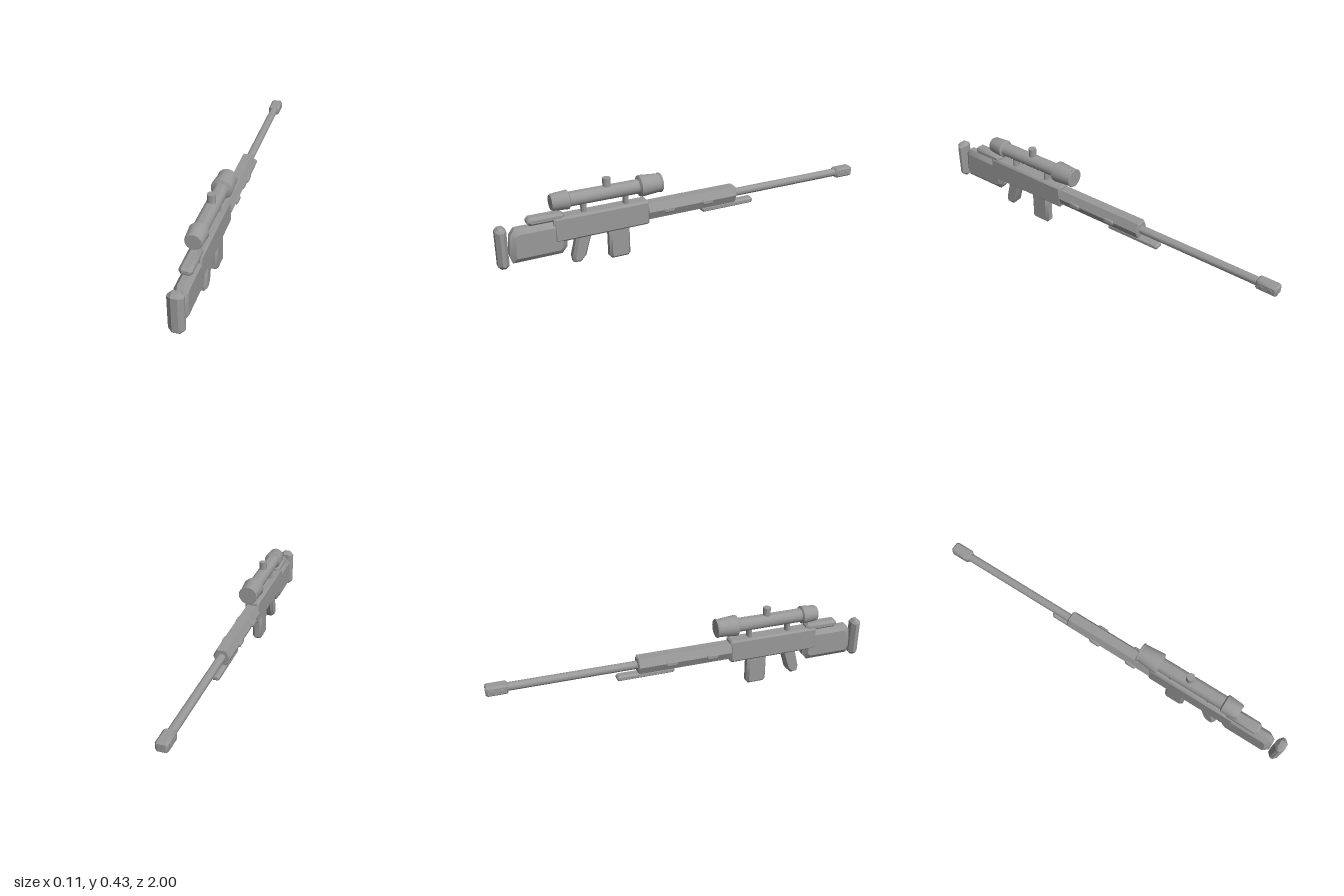
import * as THREE from 'three';
import { toCreasedNormals } from 'three/addons/utils/BufferGeometryUtils.js';

export function createModel() {
  const model = new THREE.Group();
  model.name = 'scopedRifle';
  const grey = new THREE.MeshStandardMaterial({ color: 0x999999 });
  grey.name = 'plainGrey';

  const add = (name, geometry) => {
    const mesh = new THREE.Mesh(toCreasedNormals(geometry, 0.6), grey);
    mesh.name = name;
    model.add(mesh);
    return mesh;
  };

  // Side profile in (z, y), extruded across x with chamfered edges
  const slab = (name, profile, halfWidth, bevelSize, bevelThickness, x = 0) => {
    const shape = new THREE.Shape(profile.map(([z, y]) => new THREE.Vector2(z, y)));
    const depth = 2 * (halfWidth - bevelThickness);
    const g = new THREE.ExtrudeGeometry(shape, {
      depth, bevelEnabled: true, bevelSegments: 1, bevelSize, bevelThickness, bevelOffset: -bevelSize,
    });
    g.translate(0, 0, -depth / 2);
    g.rotateY(-Math.PI / 2);
    g.translate(x, 0, 0);
    return add(name, g);
  };

  // Rectangle with cut corners, as a side profile
  const cutRect = (z0, z1, y0, y1, c) => [
    [z0 + c, y0], [z1 - c, y0], [z1, y0 + c], [z1, y1 - c],
    [z1 - c, y1], [z0 + c, y1], [z0, y1 - c], [z0, y0 + c],
  ];

  // Round part along z from (radius, z) points, z rising
  const turned = (name, points, y) => {
    const g = new THREE.LatheGeometry(points.map(([r, z]) => new THREE.Vector2(r, z)), 24);
    g.rotateX(Math.PI / 2);
    g.translate(0, y, 0);
    return add(name, g);
  };

  // Stock, butt pad and cheek rest
  slab('buttPad', cutRect(0.947, 1.0, 0.068, 0.278, 0.016), 0.037, 0.018, 0.022);
  slab('stock', [
    [0.93, 0.088], [0.69, 0.088], [0.663, 0.12], [0.663, 0.25],
    [0.69, 0.26], [0.91, 0.26], [0.935, 0.228], [0.942, 0.13],
  ], 0.034, 0.026, 0.02);
  slab('cheekRest', cutRect(0.672, 0.85, 0.262, 0.302, 0.012), 0.031, 0.012, 0.014);

  // Receiver, grip and magazine
  slab('receiver', cutRect(0.24, 0.727, 0.155, 0.28, 0.008), 0.037, 0.01, 0.009);
  slab('grip', [
    [0.637, 0.025], [0.6, 0.022], [0.572, 0.052], [0.535, 0.175],
    [0.612, 0.175], [0.642, 0.055],
  ], 0.028, 0.012, 0.014);
  slab('magazine', cutRect(0.342, 0.45, 0.002, 0.17, 0.012), 0.026, 0.012, 0.012);

  // Six-sided handguard
  const hex = new THREE.Shape([
    [0.044, 0], [0.025, 0.043], [-0.025, 0.043], [-0.044, 0], [-0.025, -0.043], [0.025, -0.043],
  ].map(([x, y]) => new THREE.Vector2(x, y)));
  const guard = new THREE.ExtrudeGeometry(hex, {
    depth: 0.49, bevelEnabled: true, bevelSegments: 1, bevelSize: 0.006, bevelThickness: 0.006, bevelOffset: -0.006,
  });
  guard.translate(0, 0.219, -0.247);
  add('handguard', guard);

  // Raised side lugs on the handguard
  for (const side of [-1, 1]) {
    for (const z of [0.137, -0.08]) {
      slab('handguardLug', cutRect(z - 0.03, z + 0.03, 0.203, 0.229, 0.006), 0.01, 0.005, 0.005, side * 0.04);
    }
  }

  // Barrel, muzzle brake with side ports, folded support
  turned('barrel', [[0, -0.92], [0.021, -0.92], [0.021, -0.24], [0, -0.24]], 0.219);
  slab('muzzleBrake', cutRect(-1.0, -0.893, 0.192, 0.244, 0.008), 0.03, 0.009, 0.01);
  for (const side of [-1, 1]) {
    for (const z of [-0.925, -0.967]) {
      slab('muzzlePort', cutRect(z - 0.01, z + 0.01, 0.208, 0.228, 0.003), 0.0015, 0.001, 0.0005, side * 0.03);
    }
  }
  slab('foldedSupport', cutRect(-0.36, -0.06, 0.15, 0.179, 0.008), 0.024, 0.007, 0.009);

  // Scope: tube, eyepiece, objective, turret and mounts
  const scopeY = 0.353;
  turned('scopeTube', [[0.036, 0.27], [0.036, 0.66]], scopeY);
  turned('eyepiece', [
    [0.035, 0.638], [0.047, 0.645], [0.041, 0.722], [0.037, 0.729], [0, 0.729],
  ], scopeY);
  turned('objective', [
    [0, 0.166], [0.047, 0.166], [0.049, 0.169], [0.049, 0.174], [0.046, 0.177],
    [0.054, 0.272], [0.052, 0.28], [0.035, 0.288],
  ], scopeY);

  const post = (name, r, z, y0, y1, stretch) => {
    const g = new THREE.CylinderGeometry(r, r, y1 - y0, 20);
    g.scale(stretch, 1, 1);
    g.translate(0, (y0 + y1) / 2, z);
    add(name, g);
  };
  post('turret', 0.02, 0.447, scopeY, 0.428, 1);
  for (const z of [0.569, 0.353]) post('scopeMount', 0.014, z, 0.27, 0.335, 1.45);

  return model;
}
